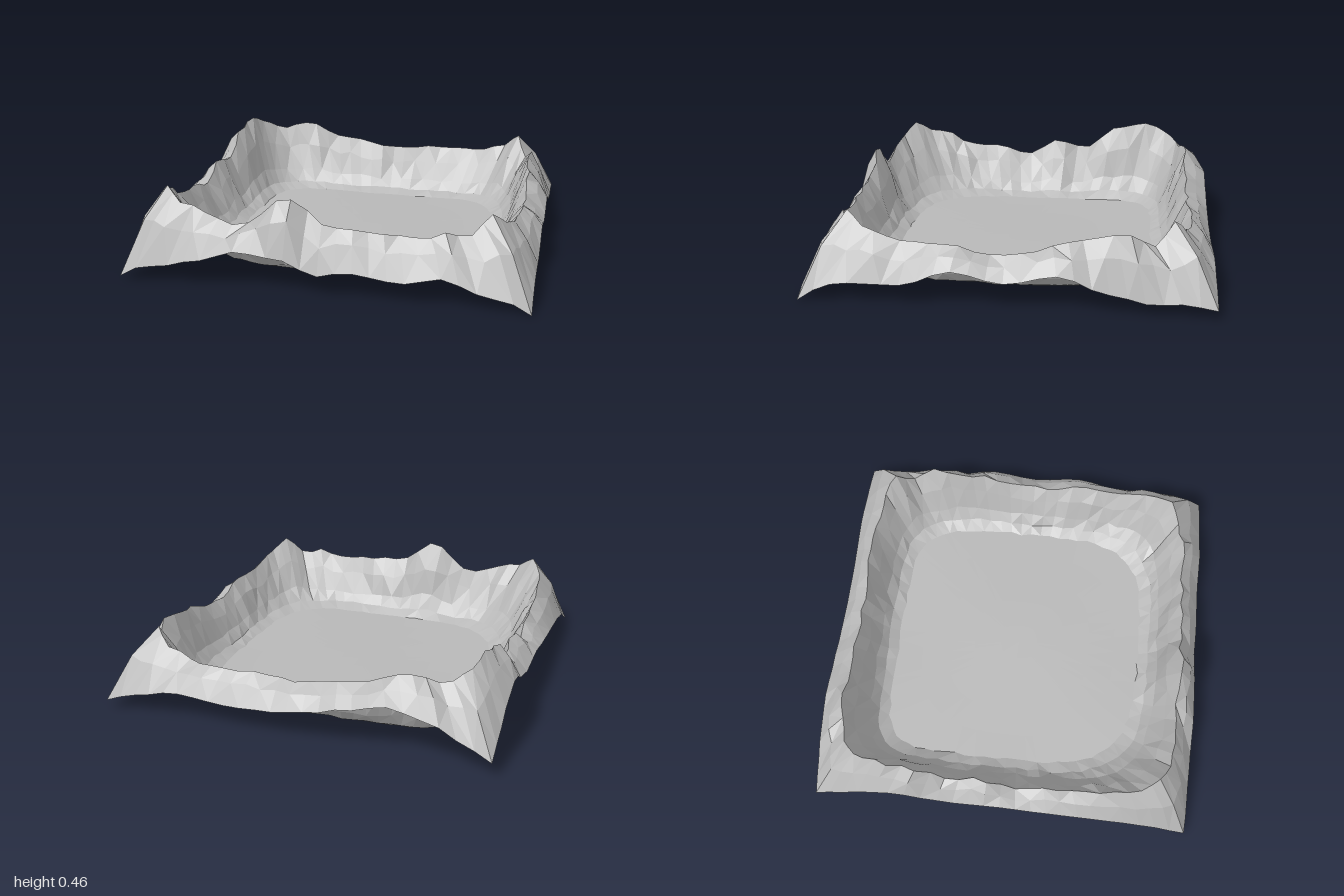
import * as THREE from 'three';

// Height profiles, counter-clockwise from above: front, right, back, left.
// Each entry is [position along the side, height].
const EDGE = [
  [[-1, .02], [-.9, .07], [-.78, .09], [-.6, .13], [-.4, .19], [-.2, .17], [0, .1], [.13, .13], [.4, .1], [.6, .14], [.75, .08], [.9, .05], [1, 0]],
  [[1, 0], [.9, .06], [.8, .1], [.5, .1], [.25, .18], [0, .13], [-.26, .18], [-.5, .1], [-.7, .06], [-.85, .07], [-1, .045]],
  [[1, .045], [.85, .1], [.6, .15], [.3, .13], [.1, .14], [-.1, .17], [-.3, .22], [-.5, .27], [-.7, .23], [-.85, .16], [-1, .08]],
  [[-1, .08], [-.85, .17], [-.7, .26], [-.55, .3], [-.4, .24], [-.25, .2], [0, .21], [.2, .18], [.41, .16], [.65, .14], [.8, .11], [1, .02]],
];
const CREST = [
  [[-1, .44], [-.8, .37], [-.46, .29], [-.2, .44], [.05, .31], [.3, .3], [.55, .29], [.67, .32], [.8, .3], [1, .4]],
  [[1, .4], [.8, .33], [.55, .28], [.3, .28], [.1, .23], [-.1, .25], [-.35, .31], [-.65, .36], [-.85, .29], [-1, .4]],
  [[1, .4], [.8, .32], [.6, .28], [.3, .28], [0, .26], [-.4, .32], [-.65, .4], [-.85, .36], [-1, .4]],
  [[-1, .4], [-.75, .46], [-.55, .43], [-.3, .29], [-.13, .33], [.1, .24], [.3, .28], [.55, .3], [.7, .37], [.8, .38], [1, .44]],
];
const PER_SIDE = 24;
const COUNT = PER_SIDE * 4;

let seed = 7;
function jitter(amount) {
  seed = (seed * 16807) % 2147483647;
  return (seed / 2147483647 * 2 - 1) * amount;
}

// Smooth interpolation in a profile table
function sample(table, t) {
  for (let i = 0; i < table.length - 1; i++) {
    const [a, ya] = table[i], [b, yb] = table[i + 1];
    const f = (t - a) / (b - a);
    if (f >= 0 && f <= 1) return ya + (yb - ya) * f * f * (3 - 2 * f);
  }
  return table[table.length - 1][1];
}

// Point on the outer square for step i; calm fades roughness at the corners
function squarePoint(i) {
  const side = Math.floor(i / PER_SIDE);
  const f = (i % PER_SIDE) / PER_SIDE * 2 - 1;
  const t = side === 0 || side === 3 ? f : -f;
  const [x, z] = [[t, 1], [1, t], [t, -1], [-1, t]][side];
  return { side, t, x, z, calm: 1 - .8 * t ** 4 };
}

// Corner squareness for [back left, back right, front left, front right]
function squareness(corners, p) {
  return corners[(p.z > 0 ? 2 : 0) + (p.x > 0 ? 1 : 0)];
}

// Ring of points: rounded square of a given size, height from a rule
function makeRing(size, corners, height, dxz = 0, dy = 0) {
  return Array.from({ length: COUNT }, (_, i) => {
    const p = squarePoint(i);
    const n = squareness(corners, p);
    const k = size / (Math.abs(p.x) ** n + Math.abs(p.z) ** n) ** (1 / n) + jitter(dxz) * p.calm;
    const x = p.x * k, z = p.z * k;
    const y = height(sample(CREST[p.side], p.t), x, z) + jitter(dy) * p.calm;
    return new THREE.Vector3(x, Math.max(0, y), z);
  });
}

// Border of the square
function makeBorder() {
  return Array.from({ length: COUNT }, (_, i) => {
    const p = squarePoint(i);
    return new THREE.Vector3(p.x, sample(EDGE[p.side], p.t), p.z);
  });
}

// Ring between two others
function midRing(a, b, f, rise) {
  return a.map((p, i) => {
    const { calm } = squarePoint(i);
    const q = p.clone().lerp(b[i], f + jitter(.08) * calm);
    q.y = p.y + (b[i].y - p.y) * (rise + jitter(.08) * calm);
    return q;
  });
}

// Surface joining successive rings from outside to inside
function loft(name, rings, material, parent) {
  const positions = [], index = [];
  rings.forEach(r => r.forEach(p => positions.push(p.x, p.y, p.z)));
  for (let k = 0; k < rings.length - 1; k++) {
    for (let i = 0; i < COUNT; i++) {
      const j = (i + 1) % COUNT;
      const a = k * COUNT + i, b = k * COUNT + j;
      const c = b + COUNT, d = a + COUNT;
      if ((i + k) % 2) index.push(a, b, c, a, c, d);
      else index.push(a, b, d, b, c, d);
    }
  }
  const geometry = new THREE.BufferGeometry();
  geometry.setAttribute('position', new THREE.Float32BufferAttribute(positions, 3));
  geometry.setIndex(index);
  const flat = geometry.toNonIndexed();
  flat.computeVertexNormals();
  const mesh = new THREE.Mesh(flat, material);
  mesh.name = name;
  parent.add(mesh);
}

// Gentle swell of the valley floor
const floorHeight = (c, x, z) => .006 + .005 * Math.sin(5 * x + 1) * Math.cos(4 * z);

export function createModel() {
  seed = 7;
  const group = new THREE.Group();
  group.name = 'mountainBasin';
  const rock = new THREE.MeshStandardMaterial({ color: 0xb8b8b8, side: THREE.DoubleSide });
  rock.name = 'rockGrey';
  rock.flatShading = true;

  const edge = makeBorder();
  const crest = makeRing(.885, [7, 6, 8, 6], c => c, .014, .006);
  const shoulder = makeRing(.835, [7, 5.5, 6, 5.5], c => c * .68, .012, .012);
  const lowerWall = makeRing(.785, [7, 5, 4.5, 4.8], c => c * .3, .01, .01);
  const footCurve = makeRing(.745, [7, 4.7, 3.8, 4.2], c => c * .11, .008, .006);
  const foot = makeRing(.69, [7, 4.5, 3.5, 3.8], floorHeight, .008);

  // Slope falling from the crest to the square border
  loft('outerSlope', [edge, midRing(edge, crest, .5, .62), crest], rock, group);
  // Steep wall inside the crest, easing into the floor
  loft('innerWall', [crest, shoulder, lowerWall, footCurve, foot], rock, group);
  // Nearly flat valley floor
  const round = [3, 3, 3, 3];
  loft('valleyFloor', [
    foot,
    ...[.55, .4, .25, .1, 0].map(size => makeRing(size, round, floorHeight)),
  ], rock, group);
  return group;
}
